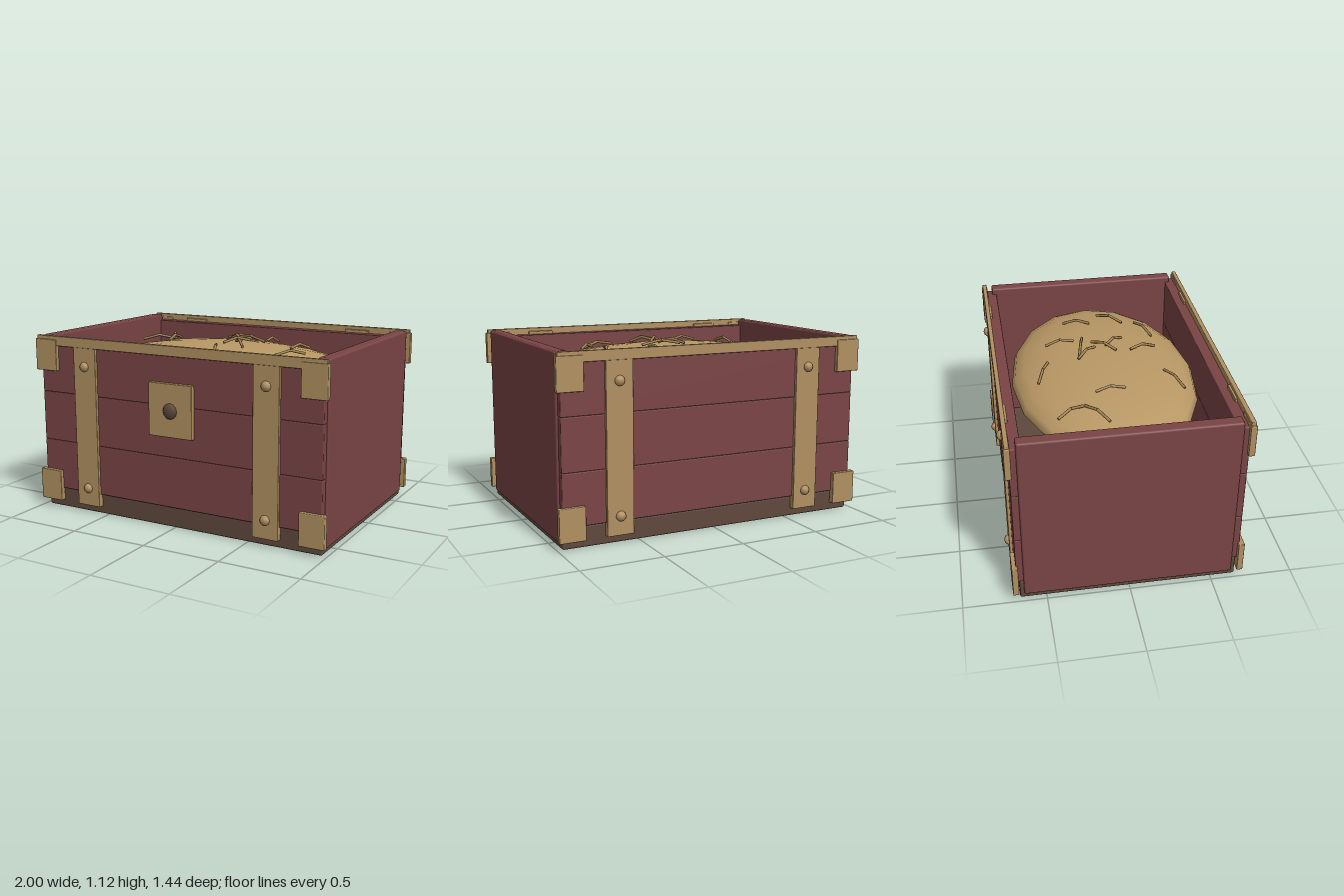
import * as THREE from 'three';
import { RoundedBoxGeometry } from 'three/addons/geometries/RoundedBoxGeometry.js';

const mat = (name, color) => {
  const m = new THREE.MeshStandardMaterial({ color });
  m.name = name;
  return m;
};

export function createModel() {
  const crate = new THREE.Group();
  crate.name = 'strawCrate';
  const redWood = mat('red wood', 0x7a4445);
  const darkWood = mat('dark wood', 0x5f483c);
  const brass = mat('dull brass', 0xb09061);
  const hay = mat('hay', 0xb99865);
  const straw = mat('straw', 0xa08250);

  const add = (parent, name, geometry, material) => {
    const mesh = new THREE.Mesh(geometry, material);
    mesh.name = name;
    parent.add(mesh);
    return mesh;
  };
  // Bevelled box given by its minimum and maximum corners
  const box = (parent, name, material, x0, x1, y0, y1, z0, z1, bevel = 0.012) => {
    const geometry = new RoundedBoxGeometry(x1 - x0, y1 - y0, z1 - z0, 2, bevel);
    const mesh = add(parent, name, geometry, material);
    mesh.position.set((x0 + x1) / 2, (y0 + y1) / 2, (z0 + z1) / 2);
    return mesh;
  };
  // Flattened ball used for rivets and the latch knob
  const stud = (parent, name, material, x, y, z, r, depth, sides) => {
    const mesh = add(parent, name, new THREE.SphereGeometry(r, sides, 6), material);
    mesh.scale.z = depth / r;
    mesh.position.set(x, y, z);
  };

  // Base, whose top is the floor inside
  box(crate, 'base', darkWood, -0.97, 0.97, 0, 0.13, -0.655, 0.655);

  // End panels
  box(crate, 'leftPanel', redWood, 0.907, 0.985, 0.035, 1.12, -0.63, 0.63);
  box(crate, 'rightPanel', redWood, -0.985, -0.907, 0.035, 1.12, -0.63, 0.63);

  // Long wall: planks, rail, straps, corner plates and rivets
  const makeWall = (name) => {
    const wall = new THREE.Group();
    wall.name = name;
    const seams = [0.13, 0.445, 0.76, 1.08];
    for (let i = 0; i < 3; i++) {
      box(wall, 'plank', redWood, -0.972, 0.972, seams[i], seams[i + 1], 0.6, 0.672, 0.006);
    }
    box(wall, 'topRail', brass, -0.99, 0.99, 1.06, 1.122, 0.664, 0.692, 0.005);
    for (const s of [-1, 1]) {
      const cx = s * 0.627;
      box(wall, 'strap', brass, cx - 0.083, cx + 0.083, 0.05, 1.1, 0.65, 0.69, 0.004);
      for (const y of [0.165, 0.945]) {
        stud(wall, 'rivet', brass, cx, y, 0.69, 0.031, 0.026, 12);
      }
      for (const y of [0.05, 0.9]) {
        box(wall, 'cornerPlate', brass, s * 0.92 - 0.08, s * 0.92 + 0.08, y, y + 0.2, 0.66, 0.697, 0.005);
      }
    }
    crate.add(wall);
    return wall;
  };
  const front = makeWall('frontWall');
  makeWall('backWall').rotation.y = Math.PI;

  // Latch on the front only
  box(front, 'latchPlate', brass, -0.15, 0.15, 0.575, 0.9, 0.665, 0.7, 0.004);
  stud(front, 'latchKnob', darkWood, 0, 0.735, 0.7, 0.049, 0.022, 8);

  // Mound of hay
  const mound = { x: 0.9, z: 0.578, y: 0.88, h: 0.18 };
  const dome = new THREE.SphereGeometry(1, 16, 6, 0, Math.PI * 2, 0, Math.PI / 2);
  const heap = add(crate, 'hayMound', dome, hay);
  heap.scale.set(mound.x, mound.h, mound.z);
  heap.position.y = mound.y;
  const surface = (x, z) =>
    mound.y + mound.h * Math.sqrt(Math.max(0, 1 - (x / mound.x) ** 2 - (z / mound.z) ** 2));

  // Loose bent stalks: start x, z and end x, z
  const stalks = [
    [-0.63, -0.36, -0.52, -0.2], [-0.7, -0.07, -0.52, -0.19], [-0.42, -0.11, -0.4, 0.07],
    [-0.23, -0.43, -0.01, -0.35], [0.2, -0.34, 0.2, -0.16], [-0.05, -0.16, 0.08, -0.04],
    [-0.02, -0.15, 0.22, -0.1], [0.14, -0.05, 0.02, 0.09], [0.08, 0.03, 0.19, 0.15],
    [0.49, -0.19, 0.44, -0.02], [0.57, 0.05, 0.44, 0.2], [0.02, 0.18, 0.1, 0.35],
    [0.24, 0.36, 0.46, 0.29], [-0.42, 0.43, -0.2, 0.35],
  ];
  const looseStraw = new THREE.Group();
  looseStraw.name = 'looseStraw';
  crate.add(looseStraw);
  const up = new THREE.Vector3(0, 1, 0);
  for (const [x0, z0, x1, z1] of stalks) {
    const a = new THREE.Vector3(x0, Math.max(1.02, surface(x0, z0) + 0.015), z0);
    const b = new THREE.Vector3(x1, Math.max(1.01, surface(x1, z1) + 0.01), z1);
    const bend = a.clone().lerp(b, 0.5);
    bend.y += 0.025;
    for (const [p, q] of [[a, bend], [bend, b]]) {
      const dir = q.clone().sub(p);
      const stalk = add(looseStraw, 'stalk', new THREE.CylinderGeometry(0.009, 0.009, dir.length(), 6), straw);
      stalk.position.copy(p).lerp(q, 0.5);
      stalk.quaternion.setFromUnitVectors(up, dir.normalize());
    }
  }

  crate.position.z = -0.003;
  return crate;
}
